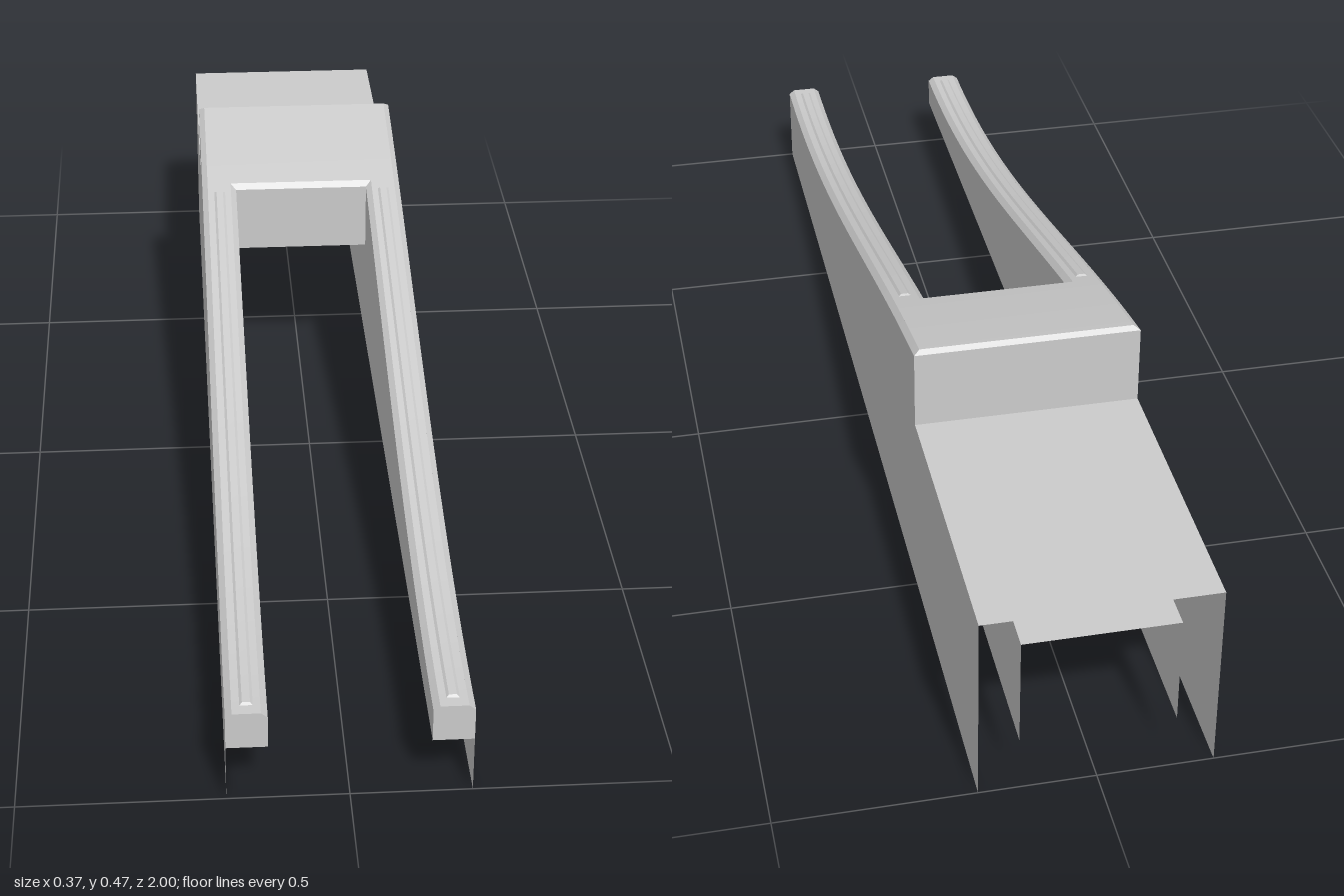
import * as THREE from 'three';

const material = new THREE.MeshStandardMaterial({ color: 0xcccccc, side: THREE.DoubleSide });

// Main dimensions
const OUT = 0.185, IN = 0.122, BEVEL = 0.01, DROP = 0.008;
const FRONT = 1, STEP = -0.5, BACK = -1, OPENING = -0.255;
const LIP = 0.095, CEILING = 0.283, DECK = 0.33;

// Height of the ramp surface along z
function rampY(z) {
  const t = (FRONT - z) / (FRONT - STEP);
  return 0.157 + 0.625 * t * t - 0.31 * t * t * t;
}

// Points at a fixed x from z0 to z1, with the height given by a number or a rule
function line(x, height, z0, z1, n = 40) {
  return Array.from({ length: n + 1 }, (_, i) => {
    const z = z0 + (z1 - z0) * i / n;
    return [x, typeof height === 'number' ? height : height(z), z];
  });
}

// Surface spanned between two rows of points
function sheet(name, a, b) {
  const position = [], index = [];
  a.forEach((p, i) => {
    position.push(...p, ...b[i]);
    if (i > 0) {
      const k = 2 * i - 2;
      index.push(k, k + 1, k + 3, k, k + 3, k + 2);
    }
  });
  const geometry = new THREE.BufferGeometry();
  geometry.setAttribute('position', new THREE.Float32BufferAttribute(position, 3));
  geometry.setIndex(index);
  geometry.computeVertexNormals();
  const mesh = new THREE.Mesh(geometry, material);
  mesh.name = name;
  return mesh;
}

const edgeY = (z) => rampY(z) - DROP;
const ridgeY = (z) => rampY(z) + 0.003;

// Everything on one side of the ramp; s is +1 or -1
function createSide(s) {
  const side = new THREE.Group();
  side.name = s > 0 ? 'leftSide' : 'rightSide';
  const add = (name, a, b) => side.add(s > 0 ? sheet(name, a, b) : sheet(name, b, a));
  const row = (x, height, z0, z1, n) => line(s * x, height, z0, z1, n);

  // Outer wall, ramp part and low rear part
  add('outerWall', row(OUT, edgeY, FRONT, STEP), row(OUT, 0, FRONT, STEP));
  add('rearOuterWall', row(OUT, DECK, STEP, BACK, 1), row(OUT, 0, STEP, BACK, 1));

  // Inner wall, beside the slot and inside the tunnel
  add('innerWall', row(IN, LIP, FRONT, OPENING), row(IN, edgeY, FRONT, OPENING));
  add('tunnelWall', row(IN, LIP, OPENING, BACK, 1), row(IN, CEILING, OPENING, BACK, 1));

  // Running surface with bevelled edges
  const outerTop = OUT - BEVEL, innerTop = IN + BEVEL;
  add('track', row(innerTop, rampY, FRONT, OPENING - DROP), row(outerTop, rampY, FRONT, OPENING - DROP));
  add('outerBevel', row(outerTop, rampY, FRONT, STEP + DROP), row(OUT, edgeY, FRONT, STEP));
  add('innerBevel', row(IN, edgeY, FRONT, OPENING), row(innerTop, rampY, FRONT, OPENING - DROP));

  // Front end plate
  const end = [[IN, edgeY(FRONT)], [innerTop, rampY(FRONT)], [outerTop, rampY(FRONT)], [OUT, edgeY(FRONT)]];
  add('frontPlate', end.map(([x]) => [s * x, LIP, FRONT]).reverse(), end.map(([x, y]) => [s * x, y, FRONT]).reverse());

  // Raised guide ridge with sloping sides and ends
  const z0 = 0.98, z1 = -0.24, inset = 0.004;
  const baseIn = row(0.143, rampY, z0, z1), baseOut = row(0.163, rampY, z0, z1);
  const topIn = row(0.147, ridgeY, z0 - inset, z1 + inset), topOut = row(0.159, ridgeY, z0 - inset, z1 + inset);
  add('ridgeTop', topIn, topOut);
  add('ridgeInnerSlope', baseIn, topIn);
  add('ridgeOuterSlope', topOut, baseOut);
  const last = baseIn.length - 1;
  add('ridgeFrontSlope', [baseIn[0], topIn[0]], [baseOut[0], topOut[0]]);
  add('ridgeRearSlope', [topIn[last], baseIn[last]], [topOut[last], baseOut[last]]);
  return side;
}

export function createModel() {
  const model = new THREE.Group();
  model.name = 'ramp';
  model.add(createSide(1), createSide(-1));

  // Panel across the ramp between two (half width, y, z) edges
  const across = (name, [x0, y0, z0], [x1, y1, z1]) =>
    model.add(sheet(name, [[-x0, y0, z0], [-x1, y1, z1]], [[x0, y0, z0], [x1, y1, z1]]));

  // Upper deck behind the slot
  const zA = OPENING - DROP, zB = STEP + DROP, w = OUT - BEVEL;
  model.add(sheet('upperDeck', line(-w, rampY, zA, zB, 10), line(w, rampY, zA, zB, 10)));

  // Slot end wall and its bevel
  across('slotEndWall', [IN, CEILING, OPENING], [IN, edgeY(OPENING), OPENING]);
  across('slotBevel', [IN, edgeY(OPENING), OPENING], [IN + BEVEL, rampY(zA), zA]);

  // Rear step, its bevel, low deck and tunnel ceiling
  across('stepBevel', [w, rampY(zB), zB], [OUT, edgeY(STEP), STEP]);
  across('stepWall', [OUT, edgeY(STEP), STEP], [OUT, DECK, STEP]);
  across('lowDeck', [OUT, DECK, STEP], [OUT, DECK, BACK]);
  across('tunnelCeiling', [IN, CEILING, BACK], [IN, CEILING, OPENING]);
  return model;
}
